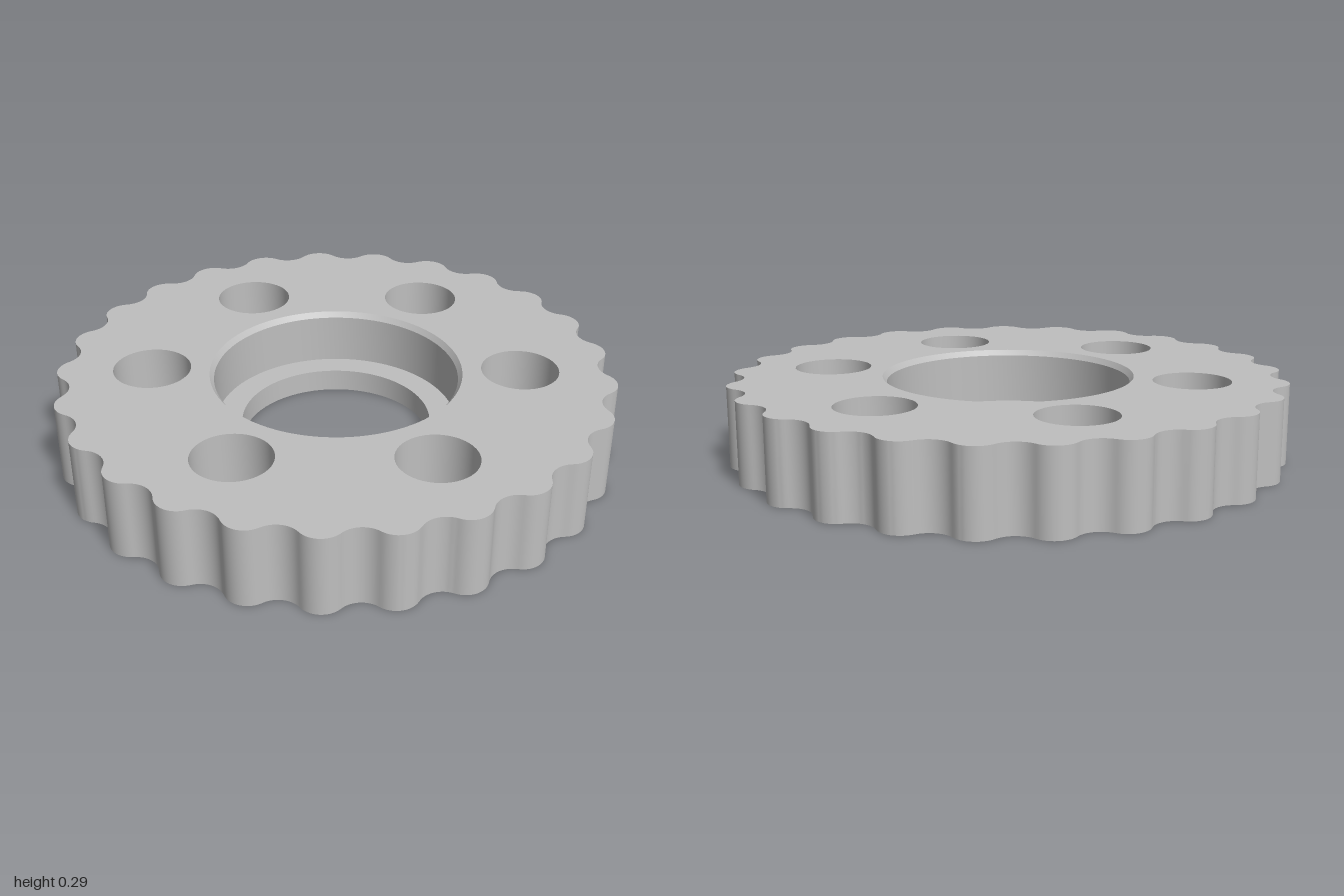
import * as THREE from 'three';
import { toCreasedNormals } from 'three/addons/utils/BufferGeometryUtils.js';

const HEIGHT = 0.29;
const LOBES = 25;
const LOBE_RADIUS = 0.08, LOBE_CENTRE = 0.9236, VALLEY_CENTRE = 1.032;
const RIM = 0.455;

// Points along an arc, without its last point
function arc(cx, cy, r, from, to, steps) {
  return Array.from({ length: steps }, (_, i) => {
    const a = from + (to - from) * i / steps;
    return new THREE.Vector2(cx + r * Math.cos(a), cy + r * Math.sin(a));
  });
}

const circle = (cx, cy, r, steps) => new THREE.Path(arc(cx, cy, r, 0, Math.PI * 2, steps));

// Scalloped edge: round lobes joined by tangent hollows
function scallopedOutline() {
  const step = Math.PI * 2 / LOBES, half = step / 2;
  const dx = VALLEY_CENTRE * Math.cos(half) - LOBE_CENTRE;
  const dy = VALLEY_CENTRE * Math.sin(half);
  const tangent = Math.atan2(dy, dx);
  const valleyRadius = Math.hypot(dx, dy) - LOBE_RADIUS;
  const points = [];
  for (let i = 0; i < LOBES; i++) {
    const a = Math.PI + i * step, v = a + half;
    points.push(
      ...arc(LOBE_CENTRE * Math.cos(a), LOBE_CENTRE * Math.sin(a), LOBE_RADIUS,
        a - tangent, a + tangent, 14),
      ...arc(VALLEY_CENTRE * Math.cos(v), VALLEY_CENTRE * Math.sin(v), valleyRadius,
        a + tangent + Math.PI, v * 2 - a - tangent + Math.PI, 12));
  }
  return new THREE.Shape(points);
}

export function createModel() {
  const group = new THREE.Group();
  group.name = 'scallopedWheel';
  const metal = new THREE.MeshStandardMaterial({ color: 0xbfbfbf });
  metal.name = 'plain grey';

  function add(name, geometry) {
    const mesh = new THREE.Mesh(toCreasedNormals(geometry, 0.5), metal);
    mesh.name = name;
    mesh.position.x = 0.0036;
    group.add(mesh);
  }

  // Plate with six round through holes
  const outline = scallopedOutline();
  outline.holes.push(circle(0, 0, RIM, 96));
  for (let i = 0; i < 6; i++) {
    const a = Math.PI / 2 + i * Math.PI / 3;
    outline.holes.push(circle(0.664 * Math.cos(a), 0.664 * Math.sin(a), 0.14, 48));
  }
  const plate = new THREE.ExtrudeGeometry(outline, { depth: HEIGHT, bevelEnabled: false });
  plate.rotateX(-Math.PI / 2);
  add('plate', plate);

  // Stepped centre bore: chamfer, counterbore wall, ledge, bore wall, underside
  const profile = [[RIM, HEIGHT], [0.44, 0.27], [0.44, 0.085], [0.345, 0.085], [0.345, 0], [RIM, 0]];
  add('centreBore', new THREE.LatheGeometry(profile.map(p => new THREE.Vector2(...p)), 96));

  return group;
}
